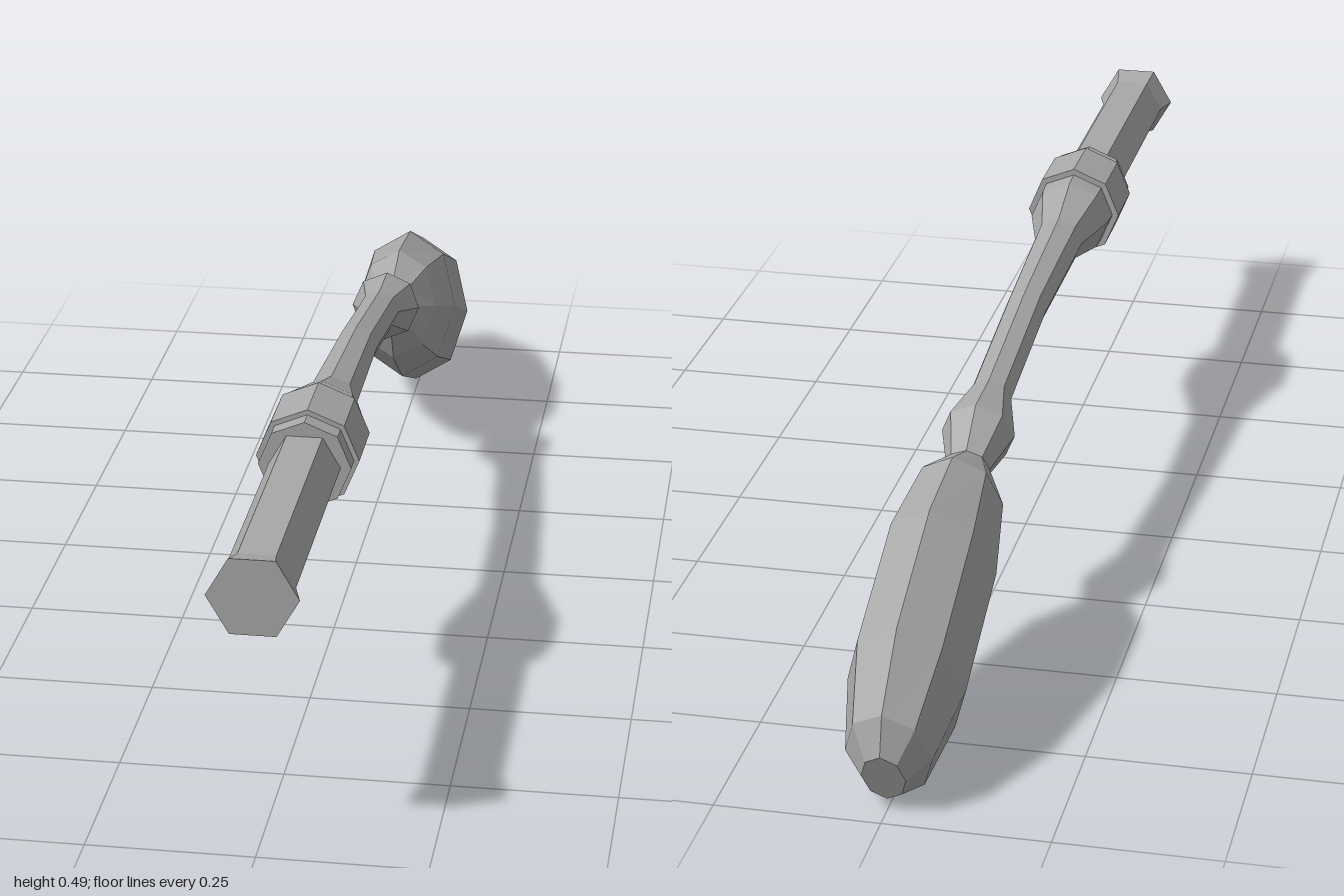
import * as THREE from 'three';

// Lofts a faceted solid through rings [z, y, halfWidth, halfHeight, tiltDegrees], ordered front to back.
function loft(rings, sides) {
  const pts = rings.map(([z, y, rx, ry = rx, tilt = 0]) => {
    const t = THREE.MathUtils.degToRad(tilt);
    return Array.from({ length: sides }, (_, j) => {
      const a = (j / sides) * Math.PI * 2;
      const h = ry * Math.sin(a);
      return [rx * Math.cos(a), y + h * Math.cos(t), z - h * Math.sin(t)];
    });
  });
  const centres = rings.map(([z, y]) => [0, y, z]);
  const last = rings.length - 1;
  const out = [];
  for (let j = 0; j < sides; j++) {
    const k = (j + 1) % sides;
    for (let i = 0; i < last; i++) {
      const [a, b, c, d] = [pts[i][j], pts[i][k], pts[i + 1][j], pts[i + 1][k]];
      out.push(...a, ...c, ...b, ...b, ...c, ...d);
    }
    // end caps
    out.push(...centres[0], ...pts[0][j], ...pts[0][k]);
    out.push(...centres[last], ...pts[last][k], ...pts[last][j]);
  }
  const geo = new THREE.BufferGeometry();
  geo.setAttribute('position', new THREE.Float32BufferAttribute(out, 3));
  geo.computeVertexNormals();
  return geo;
}

export function createModel() {
  const group = new THREE.Group();
  const grey = new THREE.MeshStandardMaterial({ name: 'plain grey', color: 0xa8a8a8, flatShading: true });
  const axisY = 0.412;

  const add = (name, sides, rings) => {
    const mesh = new THREE.Mesh(loft(rings, sides), grey);
    mesh.name = name;
    group.add(mesh);
  };

  // hexagonal shaft with a flared end
  add('shaft', 6, [
    [1, axisY, 0.067],
    [0.96, axisY, 0.055],
    [0.52, axisY, 0.055],
  ]);

  // stepped octagonal collar
  add('collarRing', 8, [[0.54, axisY, 0.071], [0.5, axisY, 0.071]]);
  add('collar', 8, [[0.51, axisY, 0.079], [0.4, axisY, 0.079]]);

  // curved neck, ending in a small knob
  add('neck', 8, [
    [0.41, axisY, 0.069],
    [0.365, axisY, 0.067],
    [0.27, 0.408, 0.041, 0.041, 2],
    [0, 0.392, 0.034, 0.034, 6],
    [-0.27, 0.352, 0.034, 0.034, 12],
    [-0.355, 0.328, 0.058, 0.058, 18],
    [-0.43, 0.302, 0.034, 0.034, 20],
  ]);

  // drooping oval head, taller than wide
  add('head', 8, [
    [-0.428, 0.303, 0.034, 0.036, 20],
    [-0.495, 0.278, 0.07, 0.096, 22],
    [-0.63, 0.228, 0.089, 0.132, 23],
    [-0.835, 0.14, 0.089, 0.132, 24],
    [-0.947, 0.085, 0.065, 0.092, 24],
    [-0.98, 0.064, 0.033, 0.049, 24],
  ]);

  return group;
}
